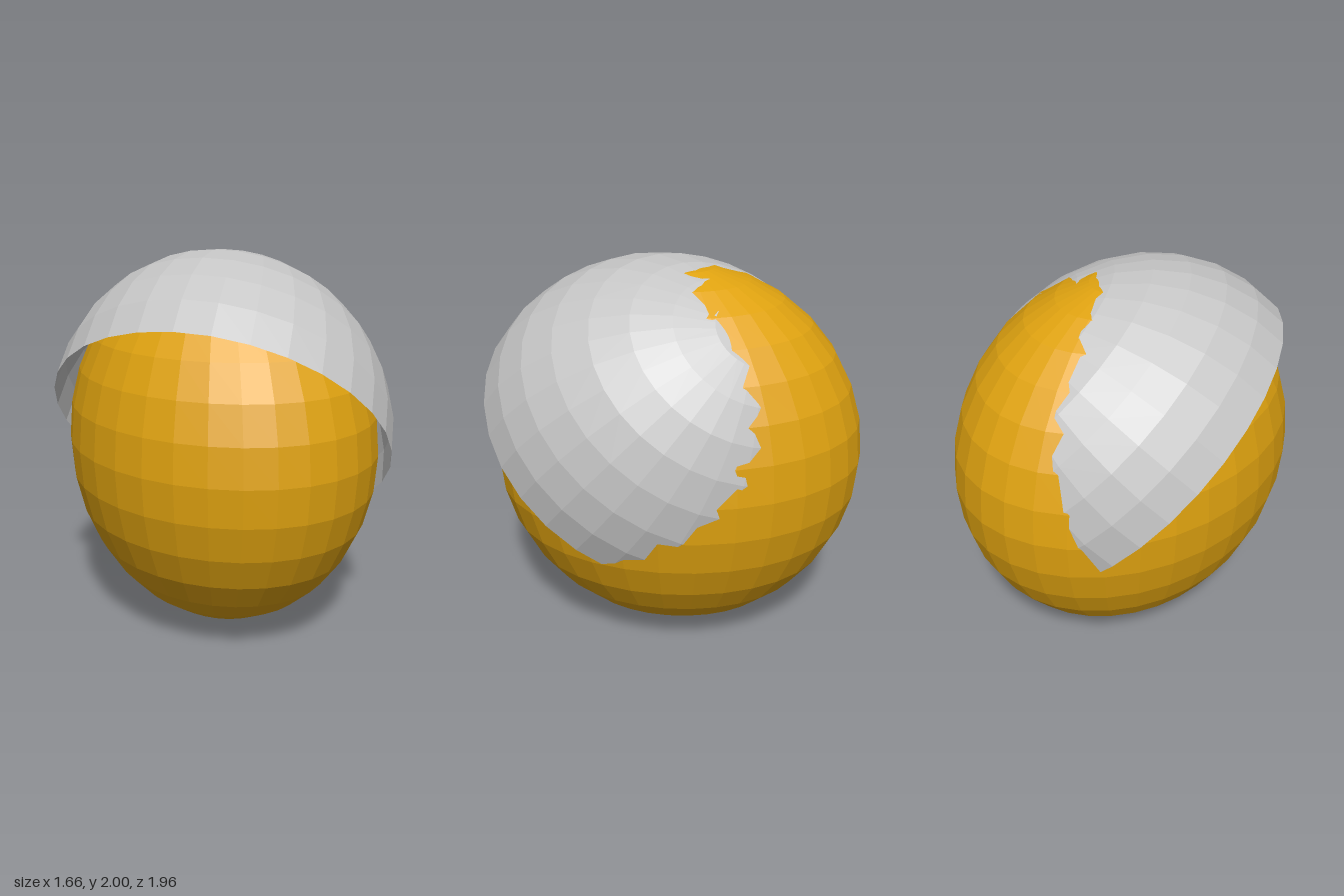
import * as THREE from 'three';

const gold = new THREE.MeshStandardMaterial({ color: 0xe0a310, flatShading: true });
gold.name = 'gold';
const grey = new THREE.MeshStandardMaterial({ color: 0xc6c6c6, flatShading: true, side: THREE.DoubleSide });
grey.name = 'lightGrey';

export function createModel() {
  const model = new THREE.Group();
  model.name = 'eggWithCap';

  // Egg-shaped body, narrower across x
  const bodyGeo = new THREE.SphereGeometry(1, 32, 16);
  bodyGeo.scale(0.79, 0.99, 0.98);
  bodyGeo.translate(0, 0.99, 0);
  const body = new THREE.Mesh(bodyGeo, gold);
  body.name = 'body';

  // Open half shell, tipped back and to the left, sinking into the body behind
  const pole = new THREE.Vector3(0.479, 0.719, -0.504).normalize();
  const tilt = new THREE.Quaternion().setFromUnitVectors(new THREE.Vector3(0, 1, 0), pole);
  const capGeo = new THREE.SphereGeometry(1, 32, 8, 0, Math.PI * 2, 0, THREE.MathUtils.degToRad(93));
  capGeo.applyQuaternion(tilt);
  capGeo.scale(0.875, 0.93, 1.0);
  capGeo.translate(-0.05, 1.07, 0.09);
  const cap = new THREE.Mesh(capGeo, grey);
  cap.name = 'cap';

  model.add(body, cap);
  return model;
}
